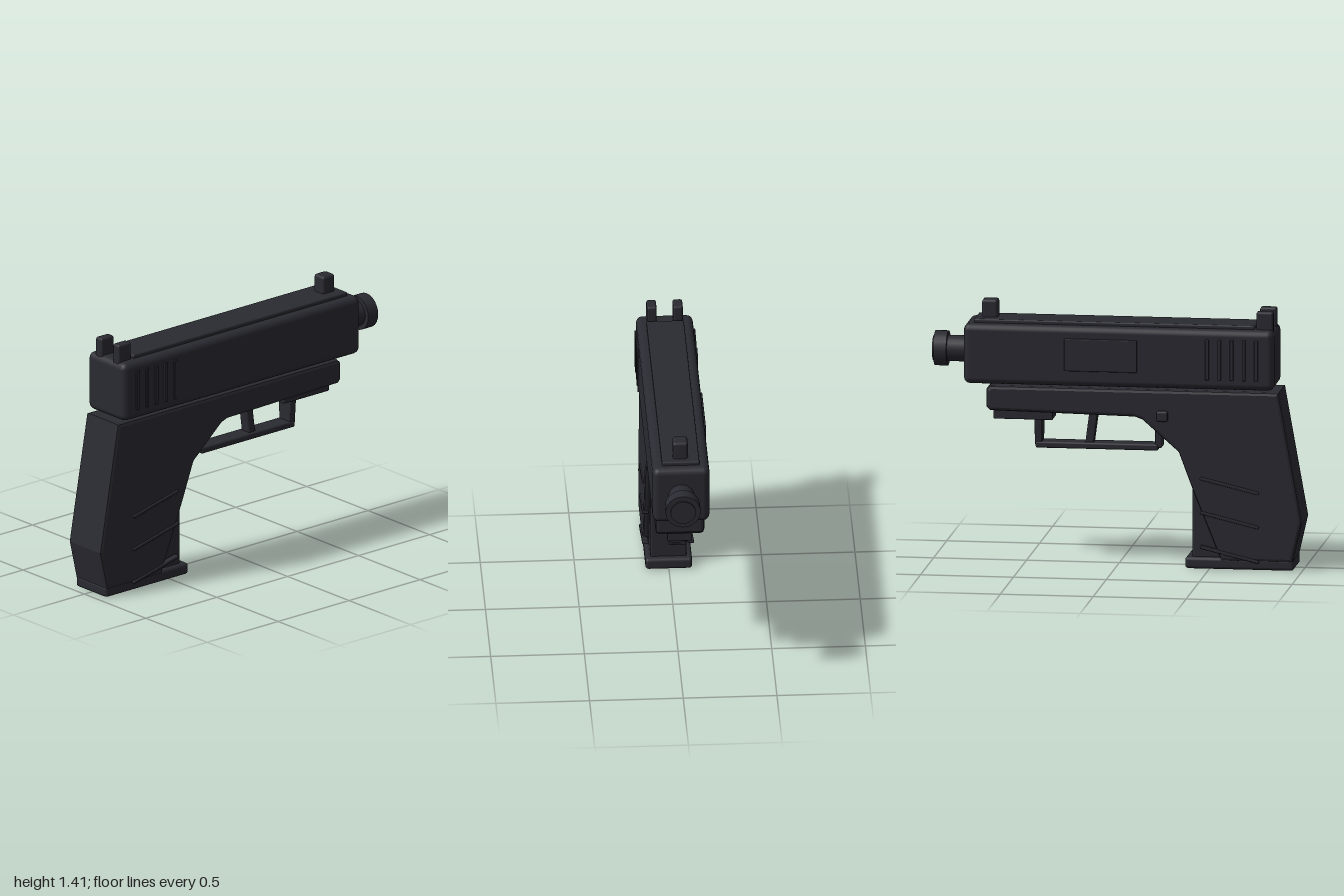
import * as THREE from 'three';
import { RoundedBoxGeometry } from 'three/addons/geometries/RoundedBoxGeometry.js';

export function createModel() {
  const model = new THREE.Group();
  model.name = 'model';
  const dark = new THREE.MeshStandardMaterial({ color: 0x2a2a32 });
  dark.name = 'charcoal';

  const add = (name, geometry, x = 0, y = 0, z = 0, tilt = 0) => {
    const mesh = new THREE.Mesh(geometry, dark);
    mesh.name = name;
    mesh.position.set(x, y, z);
    mesh.rotation.z = tilt;
    model.add(mesh);
    return mesh;
  };

  // Rounded block given by its limits on each axis
  const block = (name, [x0, x1], [y0, y1], [z0, z1], r = 0.01) =>
    add(name, new RoundedBoxGeometry(x1 - x0, y1 - y0, z1 - z0, 2, r),
      (x0 + x1) / 2, (y0 + y1) / 2, (z0 + z1) / 2);

  // Cylinder lying along x
  const round = (name, radius, x0, x1) => {
    const g = new THREE.CylinderGeometry(radius, radius, x1 - x0, 24);
    g.rotateZ(-Math.PI / 2);
    return add(name, g, (x0 + x1) / 2, 1.14);
  };

  // Slide with top rib
  block('slide', [-0.85, 0.82], [0.975, 1.3], [-0.152, 0.152], 0.035);
  block('topRib', [-0.74, 0.77], [1.28, 1.32], [-0.1, 0.1], 0.008);

  // Sights
  block('frontSight', [0.65, 0.735], [1.3, 1.415], [-0.04, 0.04], 0.015);
  for (const s of [-1, 1]) {
    const z = s * 0.07;
    block('rearSight', [-0.84, -0.75], [1.28, 1.395], [z - 0.026, z + 0.026], 0.012);
  }

  // Serrations on both sides of the slide
  for (const s of [-1, 1]) {
    for (let i = 0; i < 5; i++) {
      const x = -0.757 + i * 0.066, z = s * 0.15;
      block('serration', [x - 0.01, x + 0.01], [1.03, 1.25], [z - 0.012, z + 0.012], 0.004);
    }
  }

  // Side port plate
  block('sidePort', [-0.115, 0.275], [1.06, 1.235], [-0.163, -0.145], 0.005);

  // Barrel
  round('barrel', 0.07, 0.78, 0.94);
  round('muzzleCollar', 0.094, 0.92, 0.99);
  round('muzzleFace', 0.067, 0.98, 1.0);

  // Frame and grip in one bevelled profile
  const outline = [
    [-0.875, 0.965], [0.68, 0.965], [0.7, 0.945], [0.7, 0.85], [0.68, 0.83],
    [-0.1, 0.815], [-0.14, 0.8], [-0.335, 0.63], [-0.41, 0.43], [-0.565, 0.045],
    [-0.95, 0.045], [-1.0, 0.265],
  ].map(([x, y]) => new THREE.Vector2(x, y));
  const bevel = 0.018, half = 0.13;
  const frame = new THREE.ExtrudeGeometry(new THREE.Shape(outline), {
    depth: 2 * (half - bevel), bevelEnabled: true, bevelThickness: bevel,
    bevelSize: bevel, bevelOffset: -bevel, bevelSegments: 2,
  });
  frame.translate(0, 0, -(half - bevel));
  add('frame', frame);

  // Raised slanted ridges on both grip sides
  for (const s of [-1, 1]) {
    for (const y of [0.455, 0.27, 0.083]) {
      add('gripRidge', new RoundedBoxGeometry(0.325, 0.018, 0.034, 2, 0.005),
        -0.61, y, s * 0.121, 0.235);
    }
  }

  // Magazine and its base
  block('magazine', [-0.85, -0.405], [0.03, 0.44], [-0.097, 0.097], 0.012);
  block('magazineBase', [-0.955, -0.37], [0, 0.063], [-0.125, 0.125], 0.018);

  // Release button
  block('releaseButton', [-0.28, -0.22], [0.797, 0.853], [-0.157, -0.11], 0.01);

  // Accessory rail under the front of the frame
  block('rail', [0.35, 0.67], [0.775, 0.85], [-0.066, 0.066], 0.006);

  // Trigger guard
  block('guardBar', [-0.215, 0.445], [0.62, 0.655], [-0.05, 0.05], 0.01);
  block('guardRearPost', [-0.235, -0.198], [0.635, 0.82], [-0.045, 0.045], 0.008);
  const post = block('guardFrontPost', [0.41, 0.45], [0.635, 0.8], [-0.055, 0.055], 0.008);
  const p = post.geometry.attributes.position;
  for (let i = 0; i < p.count; i++) {
    p.setZ(i, p.getZ(i) * (0.88 + 1.4 * p.getY(i)));
  }
  post.geometry.computeVertexNormals();

  // Trigger
  add('trigger', new RoundedBoxGeometry(0.045, 0.2, 0.065, 2, 0.008), 0.145, 0.745, 0, 0.13);

  return model;
}
